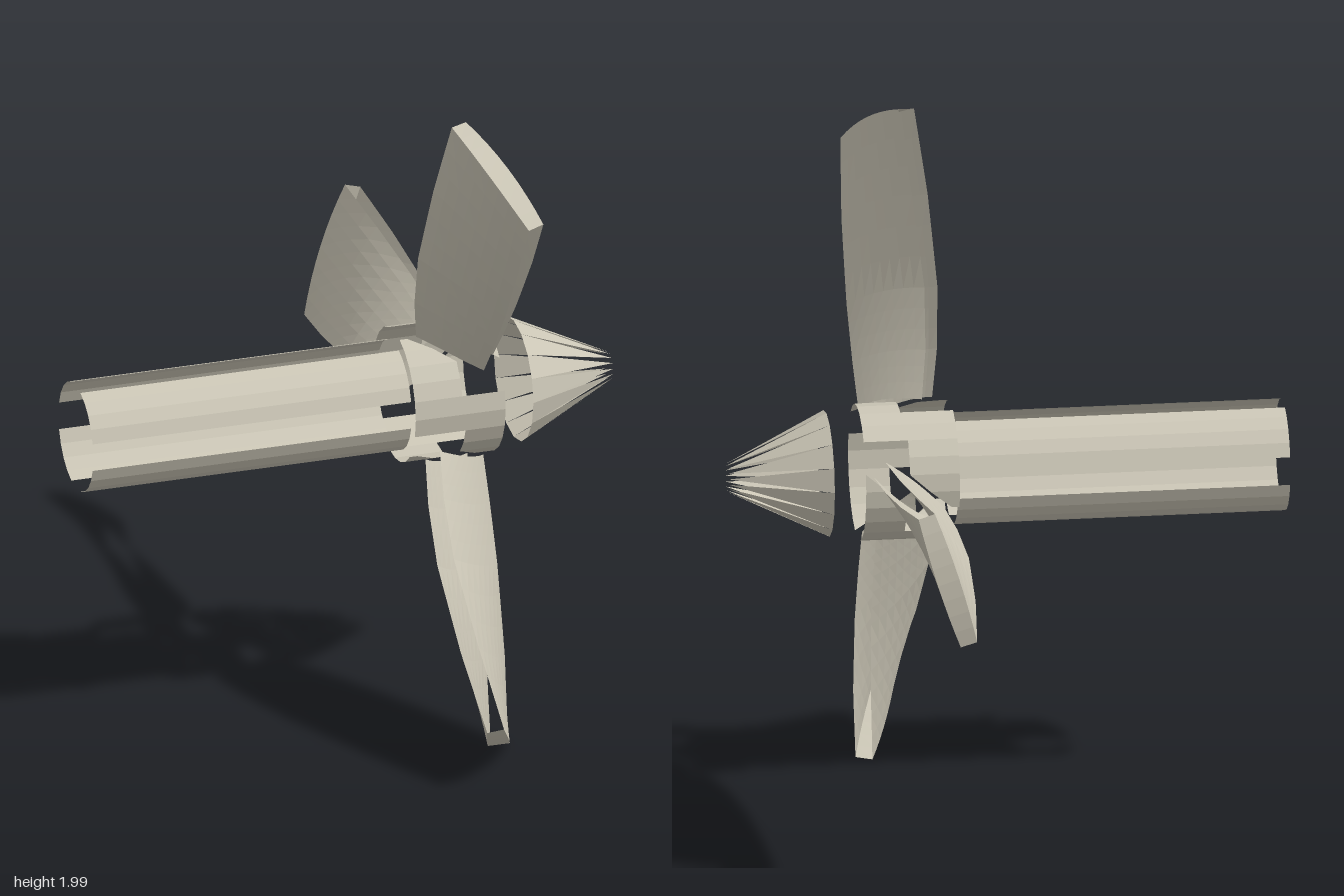
import * as THREE from 'three';

const AXIS_Y = 1.003, AXIS_Z = 0.18;
const RAD = Math.PI / 180;

const material = new THREE.MeshStandardMaterial({ color: 0xcac5b5, side: THREE.DoubleSide, flatShading: true });

// Open sheet over a (u, v) grid; fn gives [x, angle in degrees from +z, radius] about the x axis.
function sheet(name, nu, nv, fn) {
  const pos = [], index = [];
  for (let i = 0; i <= nu; i++) {
    for (let j = 0; j <= nv; j++) {
      const [x, a, r] = fn(i / nu, j / nv);
      pos.push(x, r * Math.sin(a * RAD), r * Math.cos(a * RAD));
      if (i < nu && j < nv) {
        const k = i * (nv + 1) + j, n = k + nv + 1;
        index.push(k, n, k + 1, k + 1, n, n + 1);
      }
    }
  }
  const g = new THREE.BufferGeometry();
  g.setAttribute('position', new THREE.Float32BufferAttribute(pos, 3));
  g.setIndex(index);
  g.computeVertexNormals();
  const mesh = new THREE.Mesh(g, material);
  mesh.name = name;
  return mesh;
}

// Blade sections: radius, middle x, half width along x, half width around the hub, thickness
const SECTIONS = [
  [0.21, 0.305, 0.085, 0.072, 0.055],
  [0.35, 0.297, 0.096, 0.095, 0.055],
  [0.53, 0.293, 0.1, 0.122, 0.055],
  [0.8, 0.297, 0.085, 0.162, 0.055],
  [1.05, 0.302, 0.062, 0.2, 0.05],
];

// Point on a blade: s along the span, u across the chord (-1..1), side is +1 front, -1 back
function bladePoint(s, u, side) {
  const f = s * (SECTIONS.length - 1);
  const i = Math.min(Math.floor(f), SECTIONS.length - 2);
  const [r, xm, hx, ht, th] = SECTIONS[i].map((v, k) => THREE.MathUtils.lerp(v, SECTIONS[i + 1][k], f - i));
  const len = Math.hypot(hx, ht);
  const off = side * th * 0.5 * (1 + 0.3 * (1 - u * u));
  const x = xm + hx * u + off * ht / len;
  const t = -ht * u + off * hx / len;
  return [x, t / r / RAD, r];
}

function createBlade() {
  const blade = new THREE.Group();
  blade.name = 'blade';
  blade.add(sheet('bladeFrontSkin', 12, 8, (s, v) => bladePoint(s, v * 2 - 1, 1)));
  blade.add(sheet('bladeBackSkin', 12, 8, (s, v) => bladePoint(s, v * 2 - 1, -1)));
  blade.add(sheet('bladeTip', 8, 1, (u, v) => bladePoint(1, u * 2 - 1, v * 2 - 1)));
  return blade;
}

// Three hub panels between the blades, plus the collar pieces around each slanted blade slot
function createHubThird() {
  const hub = new THREE.Group();
  hub.name = 'hubSection';
  const R = 0.2, back = 0.155, front = 0.43;
  const slot = (a) => 0.305 - 0.0042 * a;
  hub.add(sheet('hubPanel', 1, 2, (u, v) => [back + u * (front - back), 44 + 32 * v, R]));
  hub.add(sheet('hubRearCollar', 1, 4, (u, v) => {
    const a = -44 + 60 * v;
    const edge = Math.max(back, Math.min(slot(a) - 0.06, 0.3));
    return [back + u * (edge - back), a, R];
  }));
  hub.add(sheet('hubFrontCollar', 1, 4, (u, v) => {
    const a = -16 + 60 * v;
    const edge = Math.min(front, Math.max(slot(a) + 0.06, 0.31));
    return [front + u * (edge - front), a, R];
  }));
  return hub;
}

export function createModel() {
  const root = new THREE.Group();
  root.name = 'propeller';
  const body = new THREE.Group();
  body.name = 'propellerBody';
  body.position.set(0, AXIS_Y, AXIS_Z);
  root.add(body);

  // Shaft: four curved strips with open gaps between
  for (let i = 0; i < 4; i++) {
    body.add(sheet('shaftStrip', 1, 4, (u, v) => [-0.82 + 0.975 * u, 90 * i + 15 + 60 * v, 0.163]));
  }

  // Blades and hub, repeated three times around the axis
  for (const angle of [60, 180, 300]) {
    for (const part of [createBlade(), createHubThird()]) {
      part.rotation.x = -angle * RAD;
      body.add(part);
    }
  }

  // Nose cone: tapering spikes that leave the very tip open
  const spikes = 16, step = 360 / spikes;
  for (let i = 0; i < spikes; i++) {
    body.add(sheet('noseSpike', 1, 1, (u, v) => [
      0.52 + 0.29 * u,
      step * (i + 0.5 + (v - 0.5) * (1 - 0.96 * u)),
      0.185 - 0.142 * u,
    ]));
  }
  return root;
}
